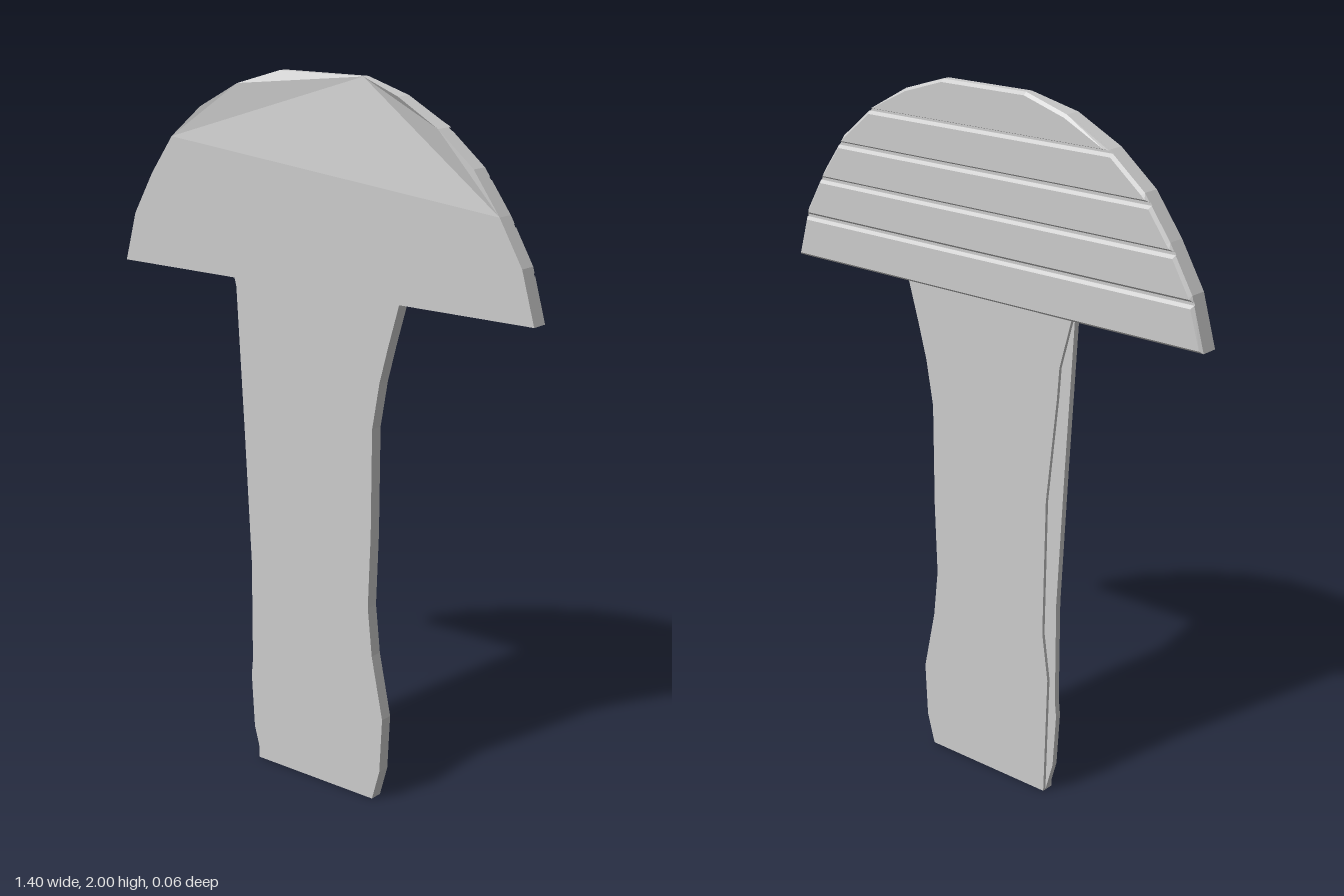
import * as THREE from 'three';

const material = new THREE.MeshStandardMaterial({ color: 0xcccccc });

// Right half of the cap rim, from the base corner to the crown
const rim = [[0.70, 1.43], [0.66, 1.57], [0.59, 1.69], [0.51, 1.80], [0.40, 1.89], [0.27, 1.96], [0.14, 2.0]];
// Right edge of the stem, from foot to cap
const stemEdge = [[0.21, 0], [0.235, 0.09], [0.243, 0.25], [0.205, 0.43], [0.19, 0.57], [0.198, 0.78],
  [0.2, 1.08], [0.223, 1.21], [0.25, 1.31], [0.285, 1.43]];
// Left edge of the stem's front and back faces
const innerEdge = [[-0.285, 1.43], [-0.247, 1.29], [-0.24, 1.2], [-0.207, 0.9], [-0.2, 0.5], [-0.22, 0.36], [-0.21, 0]];
// Thin web closing the hollow left side of the stem
const web = [[-0.15, 0], [-0.15, 1.43], [-0.288, 1.43], [-0.262, 1.0], [-0.24, 0.6], [-0.24, 0.3],
  [-0.245, 0.25], [-0.235, 0.09], [-0.21, 0]];

function mirrored(half) {
  return [...half, ...half.map(([x, y]) => [-x, y]).reverse()];
}

function slab(name, points, zBack, zFront, bevel = 0) {
  const shape = new THREE.Shape(points.map(([x, y]) => new THREE.Vector2(x, y)));
  const geometry = new THREE.ExtrudeGeometry(shape, {
    depth: zFront - zBack - 2 * bevel, steps: 1,
    bevelEnabled: bevel > 0, bevelThickness: bevel, bevelSize: bevel, bevelOffset: -bevel, bevelSegments: 1,
  });
  geometry.translate(0, 0, zBack + bevel);
  const mesh = new THREE.Mesh(geometry, material);
  mesh.name = name;
  return mesh;
}

// Half width of the cap at a given height
function capHalfWidth(y) {
  for (let i = 1; i < rim.length; i++) {
    const [x0, y0] = rim[i - 1], [x1, y1] = rim[i];
    if (y <= y1) return x0 + (x1 - x0) * (y - y0) / (y1 - y0);
  }
  return rim[rim.length - 1][0];
}

export function createModel() {
  const group = new THREE.Group();
  group.name = 'mushroom';

  // Cap body, with the front of its crown sloped back
  const cap = slab('cap', mirrored(rim), -0.018, 0.028);
  const pos = cap.geometry.attributes.position;
  for (let i = 0; i < pos.count; i++) {
    if (pos.getZ(i) > 0 && pos.getY(i) > 1.99) pos.setZ(i, -0.004);
    else if (pos.getZ(i) > 0 && pos.getY(i) > 1.94) pos.setZ(i, 0.021);
  }
  cap.geometry.computeVertexNormals();
  group.add(cap);

  // Bevelled boards across the back of the cap
  const slats = new THREE.Group();
  slats.name = 'backSlats';
  const levels = [1.43, 1.55, 1.665, 1.775, 1.885, 2.0];
  for (let i = 0; i < levels.length - 1; i++) {
    const low = levels[i] + (i ? 0.004 : 0);
    const high = levels[i + 1] - (i < 4 ? 0.004 : 0);
    const between = rim.filter(([, y]) => y > low + 0.01 && y < high - 0.01);
    const half = [[capHalfWidth(low), low], ...between, [capHalfWidth(high), high]];
    slats.add(slab('slat', mirrored(half), i === 4 ? -0.034 : -0.029, -0.005, 0.008));
  }
  group.add(slats);

  // Stem with its side web
  group.add(slab('stem', [...stemEdge, ...innerEdge], -0.012, 0.025));
  group.add(slab('stemWeb', web.slice().reverse(), -0.002, 0.016));
  return group;
}
